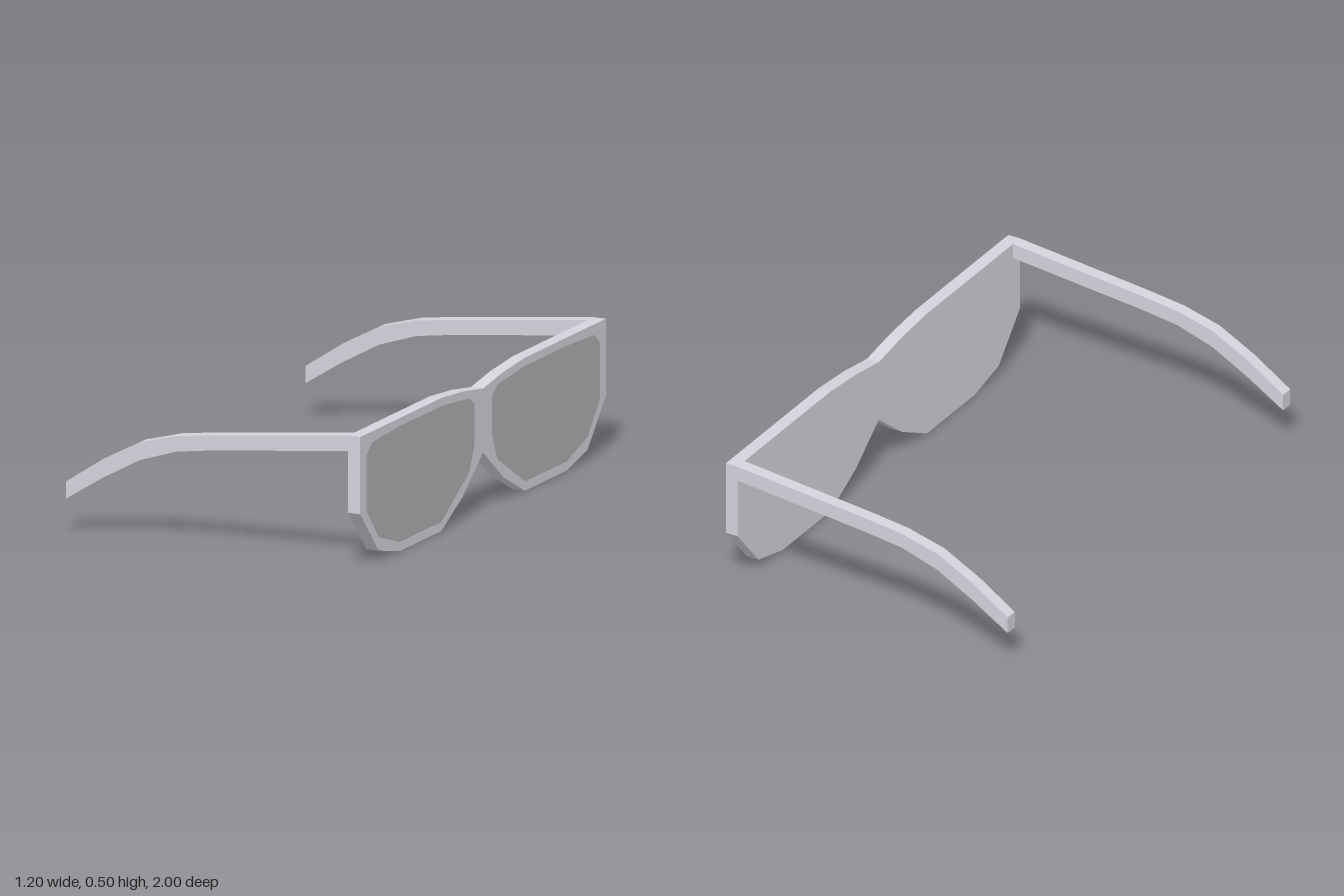
import * as THREE from 'three';

const toShape = (pts) => new THREE.Shape(pts.map(([x, y]) => new THREE.Vector2(x, y)));
const mirrored = (pts) => pts.map(([x, y]) => [-x, y]);

// Closed flat-sided solid from a 2D outline
const slab = (pts, depth) =>
  new THREE.ExtrudeGeometry(toShape(pts), { depth, bevelEnabled: false });

export function createModel() {
  const group = new THREE.Group();
  const frameMat = new THREE.MeshStandardMaterial({ color: 0xd4d2dc, flatShading: true });
  const lensMat = new THREE.MeshStandardMaterial({ color: 0xb0b0b0, flatShading: true });

  const add = (name, geometry, material) => {
    const mesh = new THREE.Mesh(geometry, material);
    mesh.name = name;
    group.add(mesh);
    return mesh;
  };

  // Front frame: half outline from bridge top round to bridge bottom, mirrored
  const half = [[0.16, 0.485], [0.34, 0.5], [1, 0.5], [1, 0.21], [0.85, 0.04],
    [0.68, 0], [0.34, 0], [0.165, 0.09]];
  const outline = [[0, 0.46], ...half, [0, 0.22], ...mirrored(half).reverse()];
  const frame = slab(outline, 0.05);
  frame.rotateY(Math.PI / 2);
  frame.translate(0.55, 0, 0);
  add('frontFrame', frame, frameMat);

  // Lenses: dark panels lying on the outer face of the frame
  const lensPts = [[0.95, 0.42], [0.905, 0.46], [0.68, 0.47], [0.34, 0.47], [0.12, 0.45],
    [0.07, 0.42], [0.07, 0.27], [0.115, 0.17], [0.34, 0.035], [0.68, 0.035],
    [0.85, 0.09], [0.95, 0.21]];
  for (const [name, pts] of [['lensBack', lensPts], ['lensFront', mirrored(lensPts)]]) {
    const lens = new THREE.ShapeGeometry(toShape(pts));
    lens.rotateY(Math.PI / 2);
    lens.translate(0.601, 0, 0);
    add(name, lens, lensMat);
  }

  // Temple arms: curved side profile, one at each end of the frame
  const armPts = [[0.55, 0.5], [0, 0.44], [-0.15, 0.42], [-0.3, 0.38], [-0.45, 0.3], [-0.6, 0.2],
    [-0.6, 0.135], [-0.45, 0.23], [-0.3, 0.313], [-0.15, 0.362], [0, 0.383], [0.55, 0.442]];
  for (const [name, z] of [['templeArmFront', 0.95], ['templeArmBack', -1]]) {
    add(name, slab(armPts, 0.05), frameMat).position.z = z;
  }

  return group;
}
